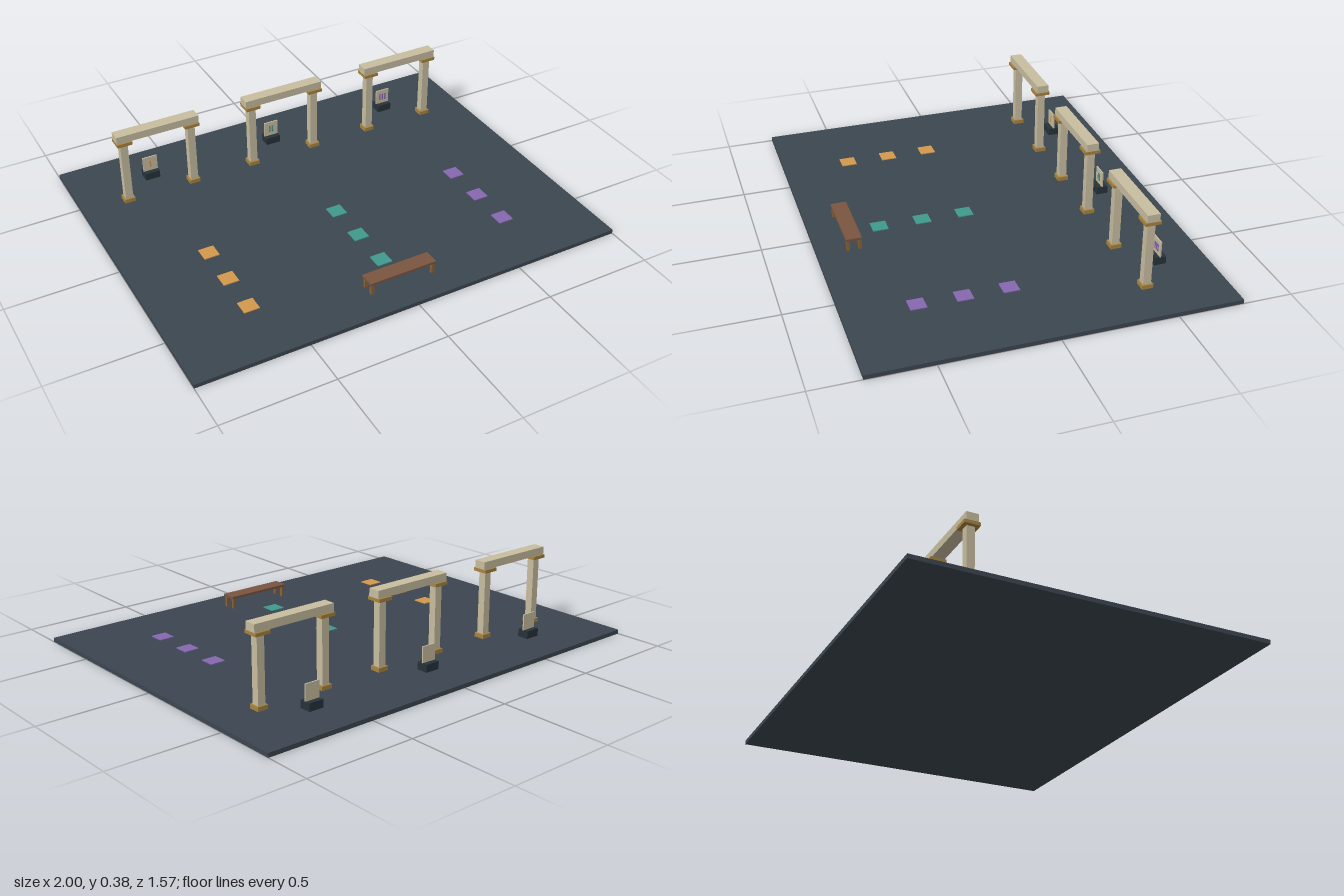
import * as THREE from 'three';

const mat = (color) => new THREE.MeshStandardMaterial({ color });

export function createModel() {
  const model = new THREE.Group();
  const stone = mat(0xc8bda0), gold = mat(0xa8843f), slate = mat(0x3c4650);
  const dark = mat(0x26323a), wood = mat(0x7a5540), legWood = mat(0x8a6236);
  const FLOOR = 0.019;

  // Box given by its bottom y, so parts stack directly
  function box(parent, name, material, w, h, d, x, bottom, z) {
    const mesh = new THREE.Mesh(new THREE.BoxGeometry(w, h, d), material);
    mesh.name = name;
    mesh.position.set(x, bottom + h / 2, z);
    parent.add(mesh);
    return mesh;
  }

  function group(name, x, z) {
    const g = new THREE.Group();
    g.name = name;
    g.position.set(x, 0, z);
    model.add(g);
    return g;
  }

  box(model, 'floor', slate, 2, FLOOR, 1.57, 0, 0, 0);

  // Three lanes, each with a gate, a marker sign and stepping tiles
  const lanes = [[-0.625, 0xd4994d], [0, 0x3f9a8c], [0.625, 0x8768b0]];
  lanes.forEach(([x, color], lane) => {
    const accent = mat(color);

    // Gate: two square columns carrying a beam
    const gate = group('gate', x, -0.447);
    for (const side of [-1, 1]) {
      const cx = side * 0.16;
      box(gate, 'columnBase', gold, 0.05, 0.019, 0.05, cx, FLOOR, 0);
      box(gate, 'column', stone, 0.035, 0.291, 0.035, cx, 0.037, 0);
      box(gate, 'columnCap', gold, 0.07, 0.015, 0.07, cx, 0.327, 0);
    }
    box(gate, 'beam', stone, 0.39, 0.035, 0.055, 0, 0.342, 0);

    // Sign behind the gate, with one more bar in each lane
    const sign = group('sign', x, -0.573);
    box(sign, 'signPedestal', dark, 0.07, 0.035, 0.053, 0, FLOOR, 0);
    box(sign, 'signPlate', stone, 0.07, 0.074, 0.006, 0, 0.053, 0);
    for (let i = 0; i <= lane; i++) {
      box(sign, 'signBar', accent, 0.007, 0.034, 0.003, (i - lane / 2) * 0.014, 0.073, 0.004);
    }

    // Tiles leading to the gate
    for (const z of [0.085, 0.281, 0.477]) {
      box(model, 'pathTile', accent, 0.07, 0.004, 0.07, x, FLOOR, z);
    }
  });

  // Bench at the front
  const bench = group('bench', 0, 0.624);
  box(bench, 'benchSeat', wood, 0.316, 0.011, 0.07, 0, 0.068, 0);
  for (const sx of [-1, 1]) {
    for (const sz of [-1, 1]) {
      box(bench, 'benchLeg', legWood, 0.014, 0.049, 0.014, sx * 0.146, FLOOR, sz * 0.026);
    }
  }

  return model;
}
